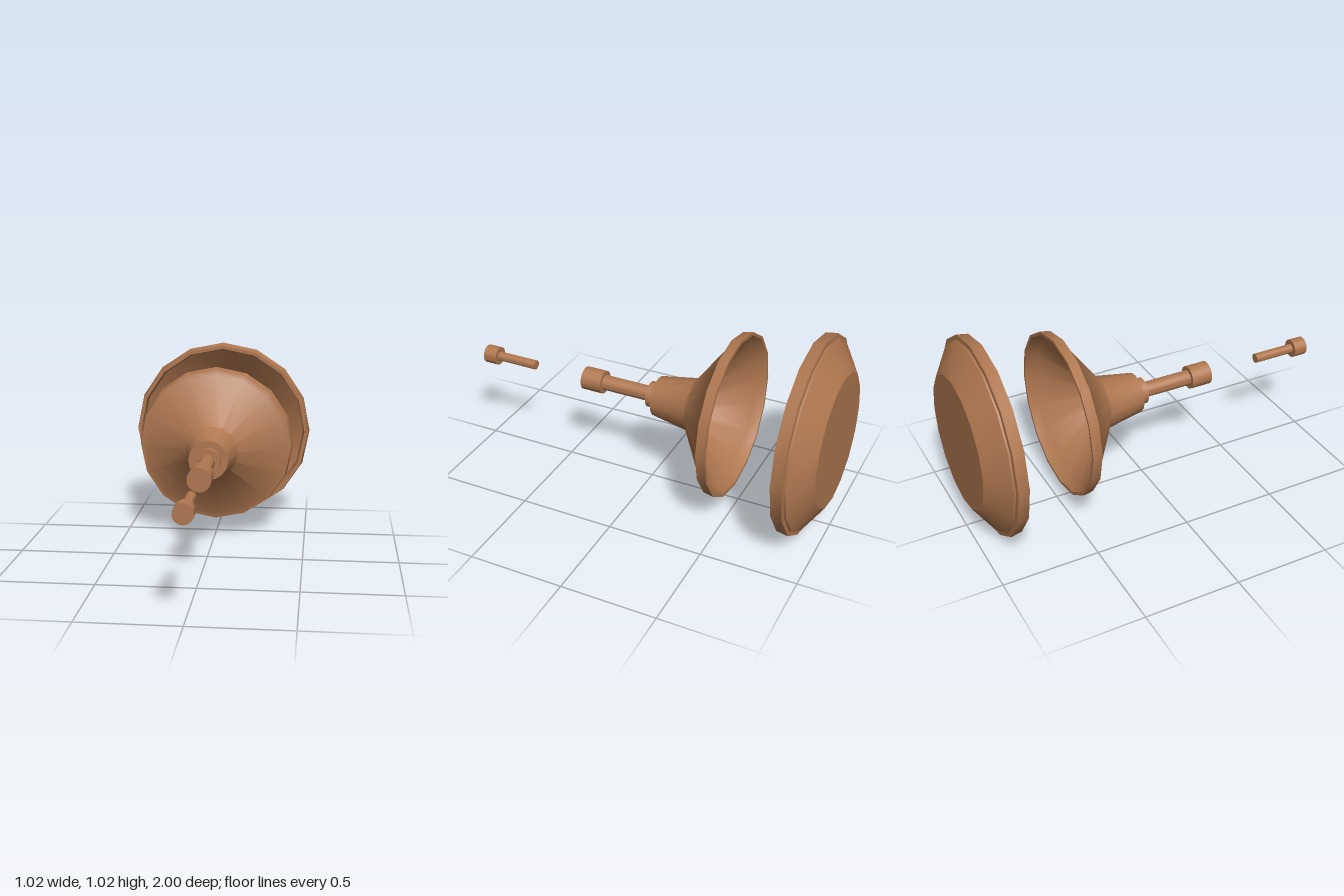
import * as THREE from 'three';
import { toCreasedNormals } from 'three/addons/utils/BufferGeometryUtils.js';

const AXIS_Y = 0.515;
const wood = new THREE.MeshStandardMaterial({ color: 0xb07850 });

// Turned part around the z axis; profile points are [radius, z], outer side running towards +z
function turned(name, profile, sides, crease) {
  const points = profile.map(([r, z]) => new THREE.Vector2(r, z));
  const geometry = toCreasedNormals(new THREE.LatheGeometry(points, sides), crease);
  geometry.rotateX(Math.PI / 2);
  const mesh = new THREE.Mesh(geometry, wood);
  mesh.name = name;
  mesh.position.y = AXIS_Y;
  return mesh;
}

// Solid rod made of stacked steps: [radius, back z, front z]
function steppedRod(name, steps) {
  const profile = [[0, steps[0][1]]];
  for (const [r, z0, z1] of steps) profile.push([r, z0], [r, z1]);
  profile.push([0, steps[steps.length - 1][2]]);
  return turned(name, profile, 32, 0.5);
}

export function createModel() {
  const group = new THREE.Group();

  // Shallow back dish, open to the front
  group.add(turned('backDish', [
    [0, -1], [0.345, -1], [0.487, -0.905], [0.487, -0.895], [0.512, -0.893],
    [0.502, -0.833], [0.483, -0.833], [0.475, -0.885], [0.345, -0.975], [0, -0.975],
  ], 16, 0.5));

  // Hollow flared bell with a neck, open to the back
  group.add(turned('flaredBell', [
    [0, -0.05], [0.095, -0.05], [0.133, -0.245], [0.378, -0.428], [0.412, -0.478],
    [0.428, -0.478], [0.419, -0.425], [0.39, -0.419], [0.14, -0.24],
    [0.105, -0.035], [0, -0.035],
  ], 16, 0.8));

  // Stem with collar and head
  group.add(steppedRod('stem', [
    [0.068, -0.045, 0.01], [0.04, 0.01, 0.275], [0.061, 0.275, 0.39],
  ]));

  // Loose pin in front
  group.add(steppedRod('frontPin', [
    [0.025, 0.695, 0.925], [0.049, 0.925, 1],
  ]));

  return group;
}
